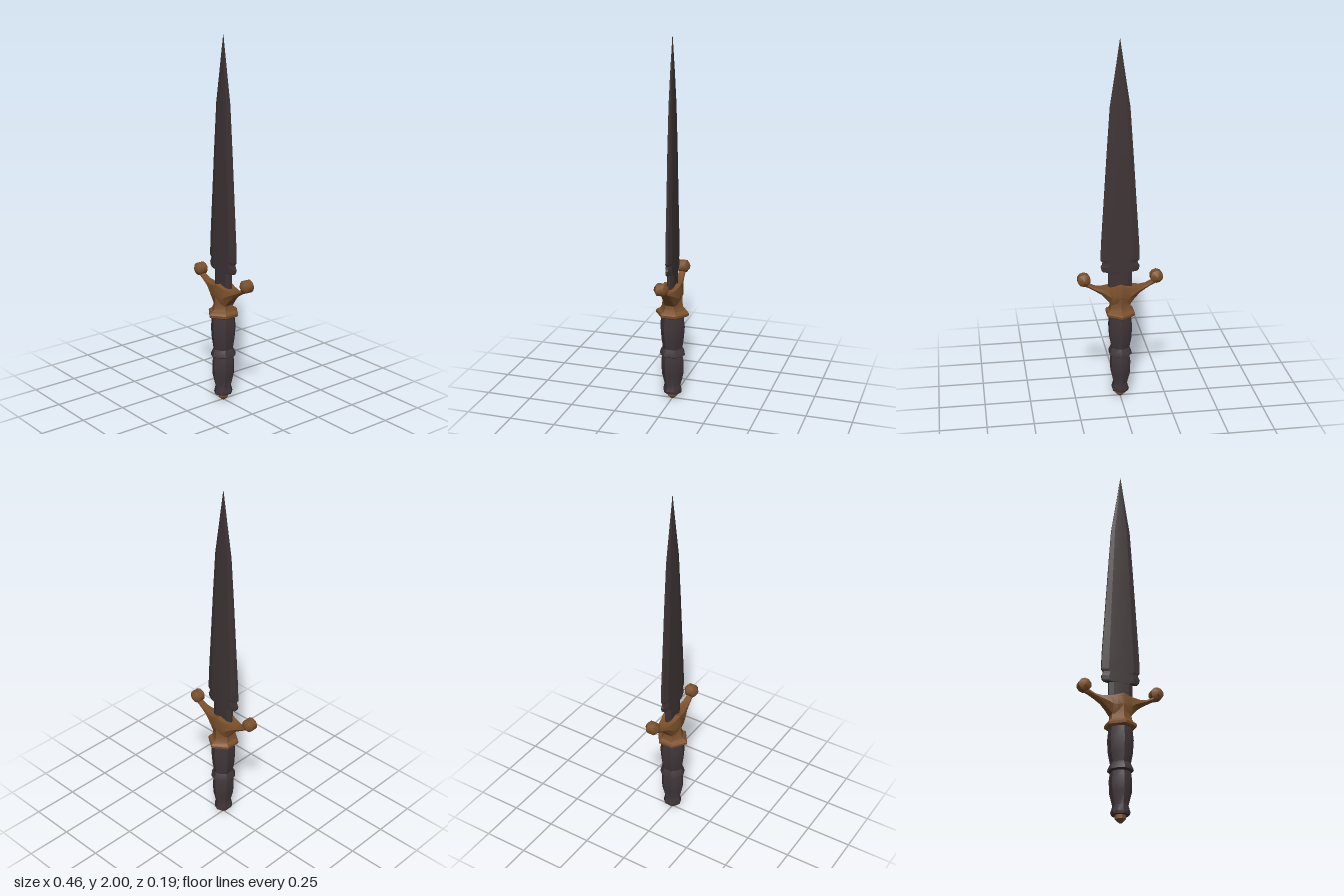
import * as THREE from 'three';
import { toCreasedNormals } from 'three/addons/utils/BufferGeometryUtils.js';

// Skin a row of equal-length rings (counter-clockwise about the loft axis) and cap both ends
function loft(rings, crease) {
  const n = rings[0].length, pos = rings.flat(2), idx = [];
  for (let i = 0; i < rings.length - 1; i++) {
    for (let j = 0; j < n; j++) {
      const a = i * n + j, b = i * n + (j + 1) % n;
      idx.push(a, b, b + n, a, b + n, a + n);
    }
  }
  const last = (rings.length - 1) * n;
  for (let j = 1; j < n - 1; j++) {
    idx.push(0, j + 1, j, last, last + j, last + j + 1);
  }
  const g = new THREE.BufferGeometry();
  g.setAttribute('position', new THREE.Float32BufferAttribute(pos, 3));
  g.setIndex(idx);
  return toCreasedNormals(g, crease);
}

// Mirror a quarter outline [x, z], given from the +x side to the +z side, into a full ring
function ring(y, quarter) {
  const all = [];
  const add = (x, z) => {
    if (!all.some(p => Math.abs(p[0] - x) + Math.abs(p[2] - z) < 1e-7)) all.push([x, y, z]);
  };
  const back = [...quarter].reverse();
  quarter.forEach(([x, z]) => add(x, -z));
  back.forEach(([x, z]) => add(-x, -z));
  quarter.forEach(([x, z]) => add(-x, z));
  back.forEach(([x, z]) => add(x, z));
  return all;
}

const hexRing = ([y, w, d]) => ring(y, [[w, d * 0.44], [0, d]]);
const gripRing = ([y, w, d]) => ring(y, [[w, d * 0.42], [w * 0.6, d * 0.8], [0, d]]);
const bladeRing = ([y, w, t]) => ring(y, [[w, t * 0.35], [w * 0.65, t * 0.88], [0, t]]);

export function createModel() {
  const model = new THREE.Group();
  const material = (name, color) => {
    const m = new THREE.MeshStandardMaterial({ color });
    m.name = name;
    return m;
  };
  const steel = material('dark steel', 0x3e3435);
  const leather = material('dark grip', 0x40363a);
  const bronze = material('bronze', 0x7b502c);
  const add = (name, geometry, mat) => {
    const mesh = new THREE.Mesh(geometry, mat);
    mesh.name = name;
    model.add(mesh);
    return mesh;
  };

  // Blade with narrow tang and notched shoulders: [y, half width, half thickness]
  add('blade', loft([
    [0.6, 0.064, 0.02], [0.742, 0.064, 0.02], [0.746, 0.092, 0.02],
    [0.755, 0.1, 0.02], [0.775, 0.105, 0.02], [0.785, 0.098, 0.02],
    [0.8, 0.094, 0.02], [0.812, 0.105, 0.02], [0.9, 0.102, 0.02],
    [1.4, 0.07, 0.016], [1.65, 0.053, 0.012], [1.82, 0.027, 0.008],
    [2, 0.0008, 0.001],
  ].map(bladeRing), 0.12), steel);

  // Waisted grip with a middle ridge and flared foot: [y, half width, half depth]
  add('grip', loft([
    [0.038, 0.042, 0.05], [0.052, 0.046, 0.053], [0.085, 0.036, 0.046],
    [0.15, 0.051, 0.062], [0.22, 0.053, 0.064], [0.258, 0.048, 0.058],
    [0.266, 0.061, 0.072], [0.278, 0.059, 0.07], [0.305, 0.048, 0.056],
    [0.36, 0.058, 0.064], [0.43, 0.062, 0.07], [0.5, 0.055, 0.062],
  ].map(gripRing), 0.55), leather);

  // Pommel stud
  add('pommel', loft([
    [0, 0.008, 0.008], [0.018, 0.026, 0.028], [0.045, 0.026, 0.028],
  ].map(gripRing), 0.5), bronze);

  // Stepped hexagonal collar and neck below the guard
  add('collar', loft([
    [0.492, 0.066, 0.082], [0.499, 0.074, 0.093], [0.512, 0.075, 0.094],
    [0.521, 0.07, 0.086], [0.528, 0.06, 0.07], [0.545, 0.053, 0.06],
    [0.58, 0.052, 0.056], [0.63, 0.064, 0.056],
  ].map(hexRing), 0.45), bronze);

  // Guard arms sweeping outward: [x, bottom, top, half depth]
  const half = [
    [0, 0.55, 0.676, 0.057], [0.03, 0.55, 0.665, 0.052],
    [0.052, 0.562, 0.66, 0.046], [0.075, 0.592, 0.658, 0.04],
    [0.105, 0.622, 0.657, 0.029], [0.14, 0.644, 0.665, 0.022],
    [0.17, 0.661, 0.682, 0.019], [0.195, 0.672, 0.7, 0.017],
  ];
  const arms = [...half.slice(1).reverse().map(([x, ...r]) => [-x, ...r]), ...half];
  add('guard', loft(arms.map(([x, b, t, d]) => {
    const c = (b + t) / 2;
    return [[x, t, -d * 0.85], [x, t, d * 0.85], [x, c, d],
      [x, b, d * 0.6], [x, b, -d * 0.6], [x, c, -d]];
  }), 0.5), bronze);

  // Faceted scroll knobs on the guard ends
  const knob = new THREE.LatheGeometry([
    [0, -0.04], [0.012, -0.037], [0.035, -0.02], [0.035, 0.02], [0.012, 0.037], [0, 0.04],
  ].map(p => new THREE.Vector2(...p)), 10).rotateX(Math.PI / 2);
  const knobGeometry = toCreasedNormals(knob, 0.65);
  for (const [side, name] of [[1, 'leftKnob'], [-1, 'rightKnob']]) {
    add(name, knobGeometry, bronze).position.set(side * 0.197, 0.708, 0);
  }
  return model;
}
